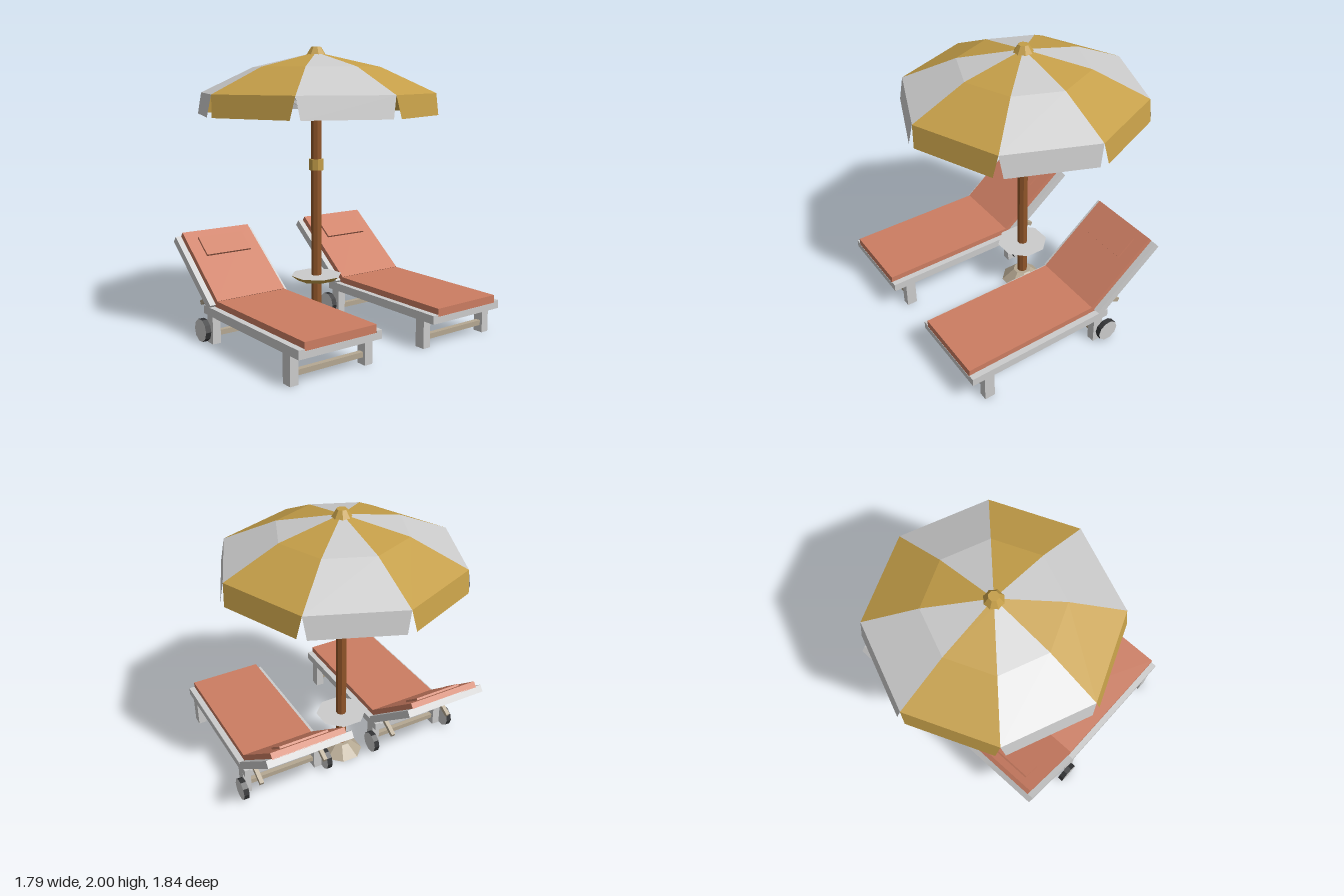
import * as THREE from 'three';

const mat = (color, side = THREE.FrontSide) =>
  new THREE.MeshStandardMaterial({ color, side, flatShading: true });

const grey = mat(0xcccccc);
const gold = mat(0xc49e48);
const wood = mat(0x8f5529);
const beige = mat(0xb5a892);
const fabric = mat(0xcc7d62);
const rubber = mat(0x333436);
const canopyGrey = mat(0xcccccc, THREE.DoubleSide);
const canopyGold = mat(0xc49e48, THREE.DoubleSide);

function add(parent, name, geometry, material) {
  const mesh = new THREE.Mesh(geometry, material);
  mesh.name = name;
  parent.add(mesh);
  return mesh;
}

// Box given by its [min, max] range on each axis
function box(parent, name, [x0, x1], [y0, y1], [z0, z1], material) {
  const mesh = add(parent, name, new THREE.BoxGeometry(x1 - x0, y1 - y0, z1 - z0), material);
  mesh.position.set((x0 + x1) / 2, (y0 + y1) / 2, (z0 + z1) / 2);
  return mesh;
}

// Upright eight-sided piece with a flat side to the front; radii measured to the flats
function octagon(parent, name, rTop, rBottom, y0, y1, material) {
  const k = 1 / Math.cos(Math.PI / 8);
  const geo = new THREE.CylinderGeometry(rTop * k, rBottom * k, y1 - y0, 8);
  geo.rotateY(Math.PI / 8);
  const mesh = add(parent, name, geo, material);
  mesh.position.y = (y0 + y1) / 2;
  return mesh;
}

// Bar with a square section between two points
function bar(parent, name, from, to, size, material) {
  const mesh = add(parent, name, new THREE.BoxGeometry(size, size, from.distanceTo(to)), material);
  mesh.position.copy(from).add(to).multiplyScalar(0.5);
  mesh.lookAt(to);
  return mesh;
}

// Strip of quads between successive pairs of points
function strip(pairs) {
  const geo = new THREE.BufferGeometry().setFromPoints(pairs.flat());
  const index = [];
  for (let i = 0; i + 1 < pairs.length; i++) {
    const a = i * 2;
    index.push(a, a + 1, a + 3, a, a + 3, a + 2);
  }
  geo.setIndex(index);
  geo.computeVertexNormals();
  return geo;
}

const polar = (r, angle, y) => new THREE.Vector3(r * Math.cos(angle), y, r * Math.sin(angle));

function createUmbrella() {
  const umbrella = new THREE.Group();
  umbrella.name = 'umbrella';

  octagon(umbrella, 'base', 0.062, 0.146, 0, 0.085, beige);
  octagon(umbrella, 'pole', 0.035, 0.035, 0.02, 1.95, wood);
  octagon(umbrella, 'table', 0.172, 0.13, 0.325, 0.36, [gold, grey, gold]);
  octagon(umbrella, 'poleCollar', 0.05, 0.05, 1.13, 1.21, gold);
  octagon(umbrella, 'ribHub', 0.06, 0.06, 1.505, 1.535, grey);
  octagon(umbrella, 'ribHubNeck', 0.045, 0.045, 1.535, 1.57, grey);
  octagon(umbrella, 'finial', 0.033, 0.065, 1.945, 2, gold);

  // Canopy panels with hanging flaps, and a rib under the middle of each panel
  const rings = [[0.05, 1.952], [0.455, 1.86], [0.842, 1.68]];
  const step = Math.PI / 4;
  for (let i = 0; i < 8; i++) {
    const a = i * step, b = a + step, mid = a + step / 2;
    const material = i % 2 ? canopyGold : canopyGrey;
    add(umbrella, 'canopyPanel',
      strip(rings.map(([r, y]) => [polar(r, a, y), polar(r, b, y)])), material);

    const topA = polar(0.842, a, 1.68), topB = polar(0.842, b, 1.68);
    const inset = topB.clone().sub(topA).setLength(0.024);
    const drop = polar(0.028, mid, -0.15);
    add(umbrella, 'canopyFlap', strip([
      [topA, topB],
      [topA.clone().add(inset).add(drop), topB.clone().sub(inset).add(drop)],
    ]), material);

    bar(umbrella, 'rib', polar(0.04, mid, 1.535), polar(0.42, mid, 1.81), 0.02, grey);
  }
  umbrella.position.z = -0.065;
  return umbrella;
}

function createLounger() {
  const lounger = new THREE.Group();
  lounger.name = 'lounger';
  const inner = 0.272, outer = 0.315;

  // Seat frame and cushion
  box(lounger, 'footRail', [-inner, inner], [0.19, 0.235], [0.875, 0.92], grey);
  box(lounger, 'rearRail', [-inner, inner], [0.19, 0.235], [-0.205, -0.16], grey);
  box(lounger, 'seatCushion', [-inner, inner], [0.235, 0.29], [-0.118, 0.918], fabric);

  // Tilted backrest: local -z runs up the back, local y is its thickness
  const back = new THREE.Group();
  back.name = 'backrest';
  back.position.set(0, 0.222, -0.147);
  back.rotation.x = THREE.MathUtils.degToRad(38.5);
  lounger.add(back);
  box(back, 'headRail', [-inner, inner], [0, 0.05], [-0.63, -0.585], grey);
  box(back, 'lowerRail', [-inner, inner], [0, 0.045], [-0.06, -0.02], grey);
  box(back, 'backCushion', [-inner, inner], [0.045, 0.09], [-0.63, 0], fabric);
  box(back, 'headPillow', [-0.18, 0.18], [0.085, 0.105], [-0.56, -0.39], fabric);

  // Bars between the legs
  for (const z of [0.793, -0.12])
    box(lounger, 'legBar', [-0.26, 0.26], [0.05, 0.085], [z - 0.018, z + 0.018], beige);

  // Parts repeated on both sides
  for (const s of [-1, 1]) {
    const span = (a, b) => (s > 0 ? [a, b] : [-b, -a]);
    box(lounger, 'sideRail', span(inner, outer), [0.19, 0.248], [-0.205, 0.92], grey);
    box(back, 'backRail', span(inner, outer), [0, 0.052], [-0.63, 0], grey);
    box(lounger, 'frontLeg', span(0.255, outer), [0, 0.195], [0.755, 0.83], grey);
    box(lounger, 'rearLeg', span(0.255, outer), [0, 0.195], [-0.16, -0.085], grey);
    bar(lounger, 'backStrut', new THREE.Vector3(s * 0.25, 0.305, -0.19),
      new THREE.Vector3(s * 0.25, 0.22, -0.35), 0.03, beige);

    const wheelGeo = new THREE.CylinderGeometry(0.08, 0.08, 0.04, 10);
    wheelGeo.rotateZ(Math.PI / 2);
    add(lounger, 'wheel', wheelGeo, [rubber, grey, grey]).position.set(s * 0.335, 0.08, -0.187);
  }
  return lounger;
}

export function createModel() {
  const model = new THREE.Group();
  model.name = 'sunLoungersWithUmbrella';
  model.add(createUmbrella());
  for (const s of [-1, 1]) {
    const lounger = createLounger();
    lounger.position.x = s * 0.538;
    model.add(lounger);
  }
  return model;
}
